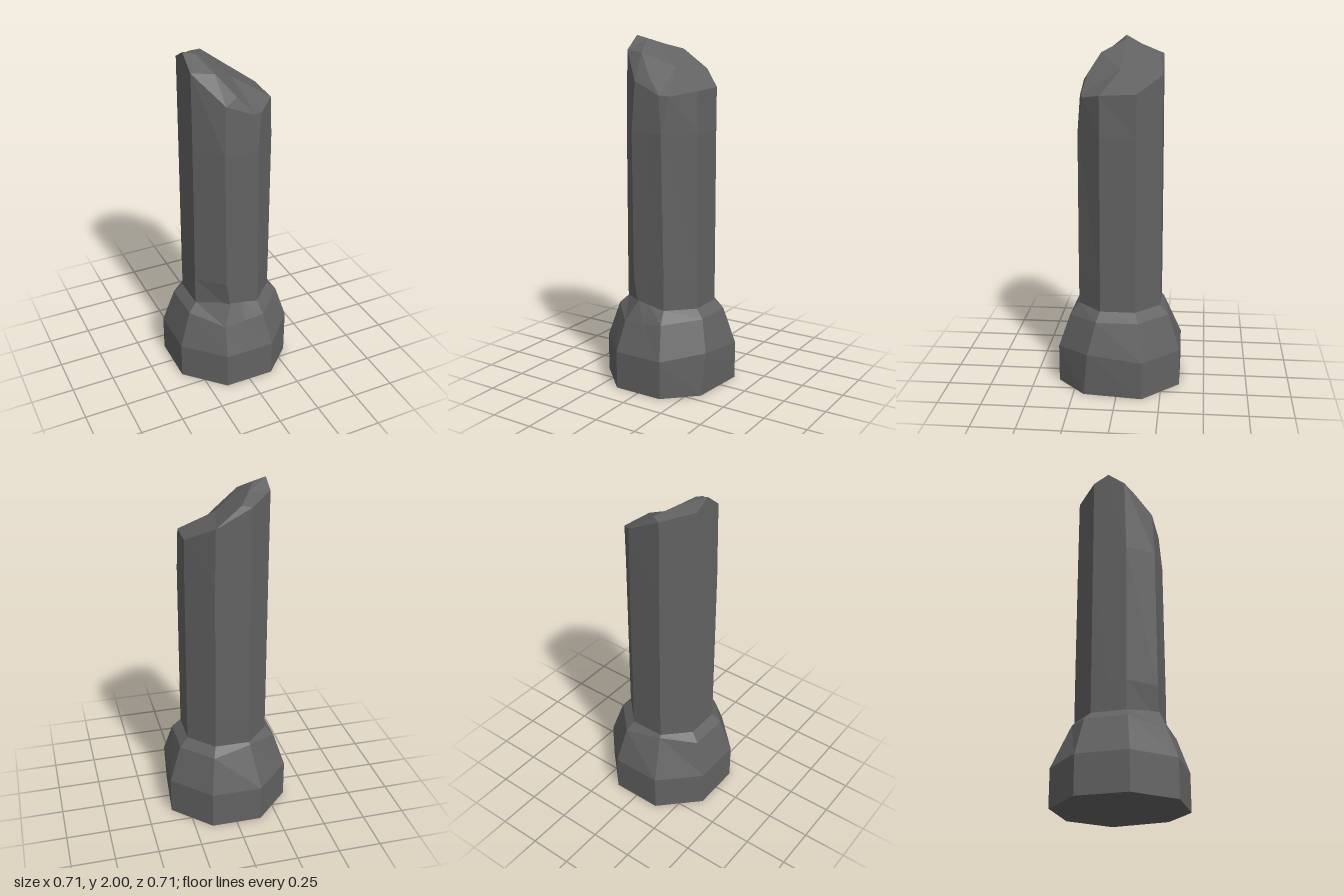
import * as THREE from 'three';

// Octagonal cross-section with a spare point in the front (3) and -x (6) sides.
// Points run from +x to the front, to -x, to the back; chips replace single points.
function ring(y, r, h, chips = {}) {
  const points = [
    [r, -h], [r, h], [h, r], [0, r], [-h, r],
    [-r, h], [-r, 0], [-r, -h], [-h, -r], [h, -r],
  ].map(([x, z]) => [x, y, z]);
  for (const i in chips) points[i] = chips[i];
  return points;
}

// Skins a stack of rings from bottom to top and closes both ends with fans.
function loft(rings, bottom, top) {
  const positions = [];
  const triangle = (a, b, c) => {
    const area = new THREE.Triangle(
      new THREE.Vector3(...a), new THREE.Vector3(...b), new THREE.Vector3(...c)).getArea();
    if (area > 1e-6) positions.push(...a, ...b, ...c);
  };
  const n = rings[0].length;
  const last = rings[rings.length - 1];
  for (let i = 0; i < n; i++) {
    const j = (i + 1) % n;
    for (let k = 0; k + 1 < rings.length; k++) {
      const low = rings[k], high = rings[k + 1];
      triangle(low[i], high[i], high[j]);
      triangle(low[i], high[j], low[j]);
    }
    triangle(bottom, rings[0][i], rings[0][j]);
    triangle(top, last[j], last[i]);
  }
  const geometry = new THREE.BufferGeometry();
  geometry.setAttribute('position', new THREE.Float32BufferAttribute(positions, 3));
  geometry.computeVertexNormals();
  return geometry;
}

export function createModel() {
  const stone = new THREE.MeshStandardMaterial({ color: 0x626262 });
  stone.name = 'darkStone';
  const model = new THREE.Group();
  model.name = 'brokenColumn';
  const add = (name, geometry) => {
    const mesh = new THREE.Mesh(geometry, stone);
    mesh.name = name;
    model.add(mesh);
  };

  // Flared foot with a chipped front corner and worn shoulders
  add('base', loft([
    ring(0, 0.355, 0.147, { 1: [0.32, 0, 0.19] }),
    ring(0.22, 0.355, 0.147, { 1: [0.335, 0.25, 0.165] }),
    ring(0.43, 0.287, 0.12, {
      2: [0.115, 0.41, 0.29],
      3: [0, 0.4, 0.29],
      4: [-0.13, 0.39, 0.29],
      8: [-0.105, 0.465, -0.25],
    }),
    ring(0.48, 0.236, 0.1, { 4: [-0.07, 0.515, 0.236], 3: [0, 0.5, 0.236] }),
  ], [0, 0, 0], [0, 0.48, 0]));

  // Straight shaft, leaning in at the front, broken off along a slope
  const rim = [
    [0.235, 1.72, -0.105], [0.228, 1.71, 0.1], [0.12, 1.685, 0.205],
    [0.06, 1.69, 0.225], [-0.095, 1.76, 0.222], [-0.235, 1.92, 0.09],
    [-0.237, 2, -0.01], [-0.237, 1.95, -0.1], [-0.1, 1.91, -0.235], [0.095, 1.81, -0.238],
  ];
  // Edge of the break, inset where the lip is bevelled
  const cut = rim.map((p) => [...p]);
  cut[3] = [0.07, 1.7, 0.215];
  cut[4] = [-0.02, 1.79, 0.195];
  cut[5] = [-0.115, 1.91, 0.125];
  cut[6] = [-0.165, 1.98, -0.01];
  cut[7] = [-0.11, 1.95, -0.11];
  cut[8] = [-0.05, 1.92, -0.215];
  add('shaft', loft([
    ring(0.46, 0.237, 0.1, { 4: [-0.07, 0.46, 0.237] }),
    ring(0.65, 0.238, 0.1, { 4: [-0.1, 0.65, 0.24] }),
    ring(1.48, 0.237, 0.1, { 2: [0.085, 1.48, 0.238], 4: [-0.108, 1.48, 0.238] }),
    rim,
    cut,
  ], [0, 0.46, 0], [0.03, 1.83, 0]));

  return model;
}
